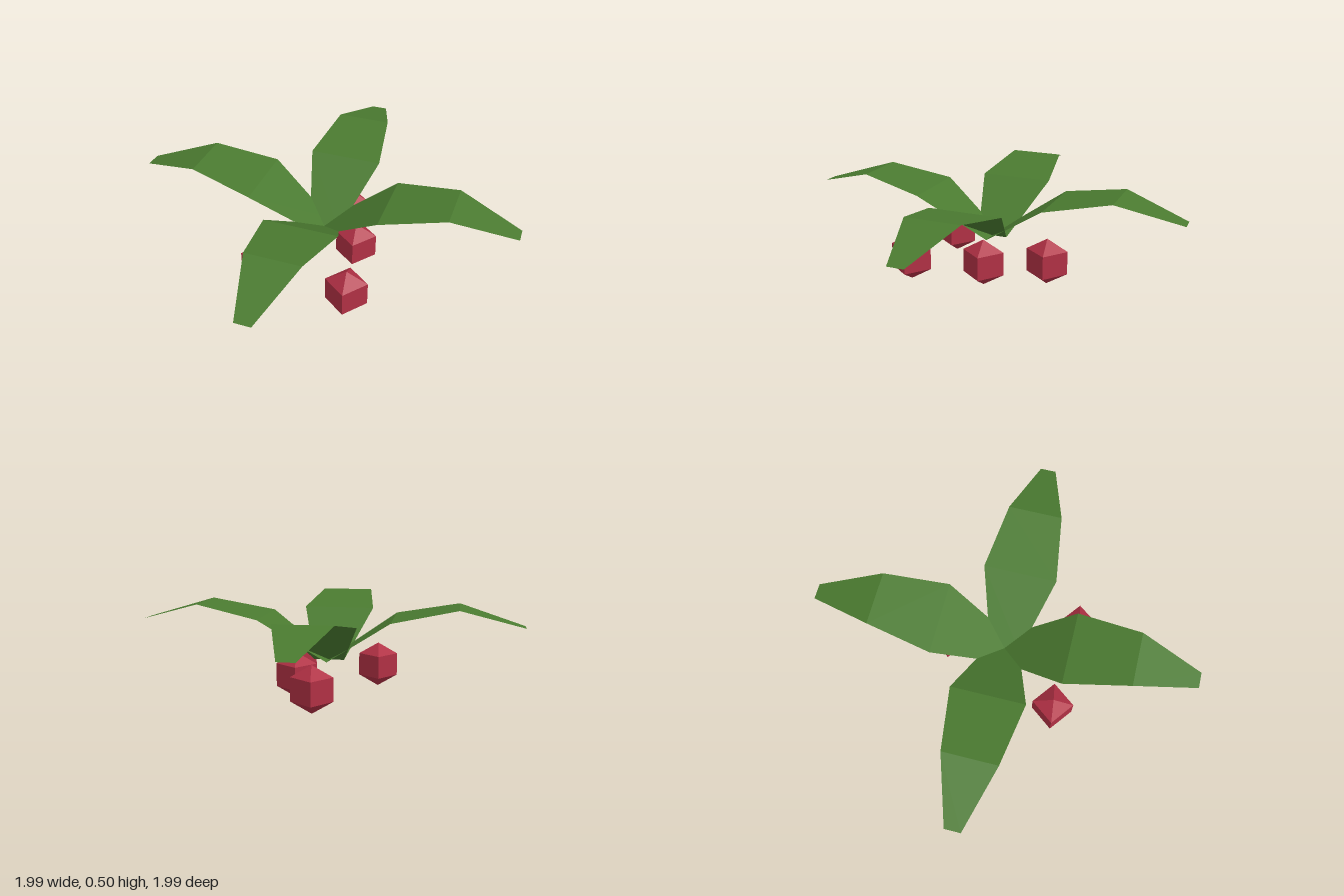
import * as THREE from 'three';

const leafGreen = new THREE.MeshStandardMaterial({ color: 0x4a7a30, flatShading: true, side: THREE.DoubleSide });
leafGreen.name = 'leaf green';
const berryRed = new THREE.MeshStandardMaterial({ color: 0xb03044, flatShading: true });
berryRed.name = 'berry red';

// Folded leaf blade along +x from cross-sections: [distance, height, half width]
function leafGeometry() {
  const sections = [[0, 0.21, 0.08], [0.338, 0.44, 0.192], [0.671, 0.505, 0.141], [1, 0.41, 0.041]];
  const positions = [], indices = [];
  sections.forEach(([x, y, w], i) => {
    positions.push(x, y, -w, x, y, w);
    if (i === 0) return;
    const a = 2 * (i - 1);
    indices.push(a, a + 1, a + 2, a + 1, a + 3, a + 2);
  });
  const geometry = new THREE.BufferGeometry();
  geometry.setAttribute('position', new THREE.Float32BufferAttribute(positions, 3));
  geometry.setIndex(indices);
  geometry.computeVertexNormals();
  return geometry;
}

export function createModel() {
  const model = new THREE.Group();
  model.name = 'berryPlant';

  // Four arching leaves, a quarter turn apart
  const blade = leafGeometry();
  for (let i = 0; i < 4; i++) {
    const leaf = new THREE.Mesh(blade, leafGreen);
    leaf.name = `leaf${i + 1}`;
    leaf.rotation.y = -0.136 + i * Math.PI / 2;
    model.add(leaf);
  }

  // Four-sided berries lying on the ground beneath the leaves
  const berryShape = new THREE.SphereGeometry(0.123, 4, 3);
  [[-0.267, 0.283], [0.192, 0.384], [0.172, 0], [0.074, -0.31]].forEach(([x, z], i) => {
    const berry = new THREE.Mesh(berryShape, berryRed);
    berry.name = `berry${i + 1}`;
    berry.position.set(x, 0.125, z);
    model.add(berry);
  });

  return model;
}
